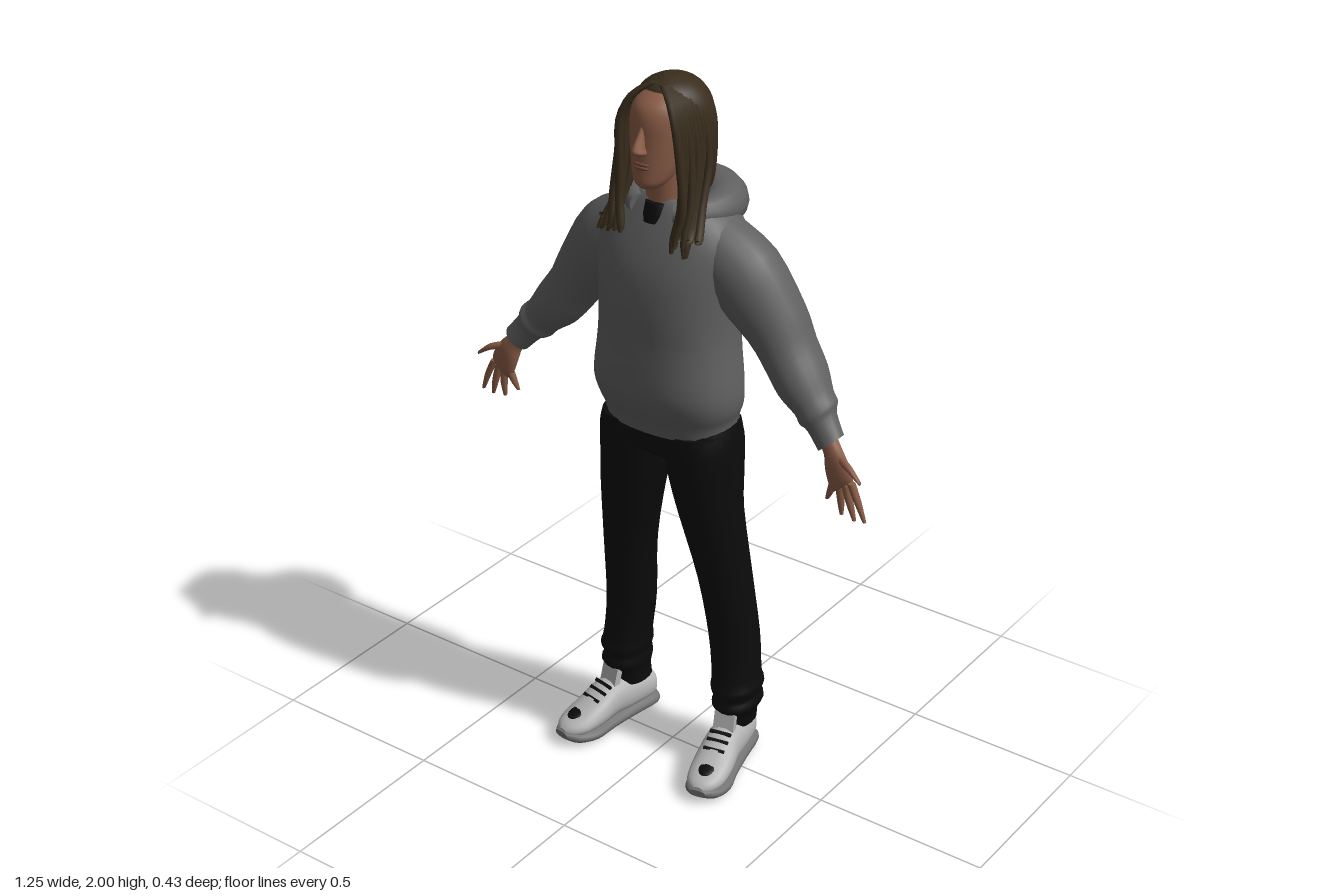
import * as THREE from 'three';

const mat = (name, color) => {
  const m = new THREE.MeshStandardMaterial({ color });
  m.name = name;
  return m;
};

// Smoothly adds in-between rows to a short table of cross-sections.
function refine(rows, sub) {
  const out = [];
  for (let i = 0; i < rows.length - 1; i++) {
    const p = [rows[Math.max(i - 1, 0)], rows[i], rows[i + 1], rows[Math.min(i + 2, rows.length - 1)]];
    for (let k = 0; k < sub; k++) {
      const t = k / sub;
      out.push(p[1].map((b, j) => {
        const a = p[0][j], c = p[2][j], d = p[3][j];
        return b + 0.5 * t * (c - a + t * (2 * a - 5 * b + 4 * c - d + t * (3 * (b - c) + d - a)));
      }));
    }
  }
  out.push(rows[rows.length - 1]);
  return out;
}

// Superellipse ring around c, spanned by u and v.
function ring(c, u, v, a, b, n, pow) {
  const f = x => Math.sign(x) * Math.abs(x) ** pow;
  return Array.from({ length: n }, (_, i) => {
    const t = i / n * Math.PI * 2;
    return c.clone().addScaledVector(u, a * f(Math.cos(t))).addScaledVector(v, b * f(Math.sin(t)));
  });
}

// Skins a list of rings and closes both ends.
function skin(rings, flip) {
  const n = rings[0].length, pos = [], idx = [];
  const tri = (a, b, c) => (flip ? idx.push(a, c, b) : idx.push(a, b, c));
  rings.forEach(r => r.forEach(p => pos.push(p.x, p.y, p.z)));
  for (let i = 0; i < rings.length - 1; i++) for (let j = 0; j < n; j++) {
    const a = i * n + j, b = i * n + (j + 1) % n;
    tri(a, b, b + n);
    tri(a, b + n, a + n);
  }
  [rings[0], rings[rings.length - 1]].forEach((r, end) => {
    const base = pos.length / 3, mid = new THREE.Vector3();
    r.forEach(p => { pos.push(p.x, p.y, p.z); mid.addScaledVector(p, 1 / n); });
    pos.push(mid.x, mid.y, mid.z);
    for (let j = 0; j < n; j++) {
      const a = base + j, b = base + (j + 1) % n;
      end ? tri(a, b, base + n) : tri(b, a, base + n);
    }
  });
  const g = new THREE.BufferGeometry();
  g.setAttribute('position', new THREE.Float32BufferAttribute(pos, 3));
  g.setIndex(idx);
  g.computeVertexNormals();
  return g;
}

const X = new THREE.Vector3(1, 0, 0), Y = new THREE.Vector3(0, 1, 0), Z = new THREE.Vector3(0, 0, 1);

// Rows are [x, y, z, radius along u, radius along v]; s mirrors x.
function loft(rows, { u = X, v = Z, n = 20, pow = 1, s = 1, sub = 3 } = {}) {
  const us = new THREE.Vector3(u.x * s, u.y, u.z);
  const rings = refine(rows, sub).map(r =>
    ring(new THREE.Vector3(r[0] * s, r[1], r[2]), us, v, Math.max(r[3], 0.001), Math.max(r[4], 0.001), n, pow));
  const A = rows[0], B = rows[rows.length - 1];
  const along = new THREE.Vector3((B[0] - A[0]) * s, B[1] - A[1], B[2] - A[2]);
  return skin(rings, us.clone().cross(v).dot(along) < 0);
}

export function createModel() {
  const grey = mat('hoodie grey', 0x606060), black = mat('trouser black', 0x0b0b0c);
  const skinTone = mat('skin', 0x8a5c46), lip = mat('lips', 0x6e4436);
  const hair = mat('hair brown', 0x382c1c), pale = mat('shoe pale grey', 0xb4b4b4);
  const soleGrey = mat('sole grey', 0x727272);
  const root = new THREE.Group();
  const add = (name, geo, m, parent = root) => {
    const mesh = new THREE.Mesh(geo, m);
    mesh.name = name;
    parent.add(mesh);
    return mesh;
  };

  // Hoodie body with a drawn-in hem
  add('hoodieBody', loft([
    [0, 1.045, 0, .185, .128], [0, 1.08, .005, .19, .133], [0, 1.12, .012, .205, .14], [0, 1.18, .018, .208, .148],
    [0, 1.3, .014, .193, .147], [0, 1.4, .008, .193, .153], [0, 1.5, 0, .2, .15], [0, 1.58, -.01, .2, .134],
    [0, 1.64, -.018, .165, .115], [0, 1.675, -.015, .115, .095], [0, 1.69, -.01, .08, .08],
  ], { n: 32, pow: .85 }), grey);

  // Folded hood: a roll around the neck, thickest behind
  const hood = [];
  for (let i = 0; i <= 28; i++) {
    const a = (i / 28 - .5) * 5.3, w = Math.cos(a / 2) ** 2;
    const out = new THREE.Vector3(Math.sin(a), 0, -Math.cos(a));
    const c = out.clone().multiplyScalar(.113).add(new THREE.Vector3(0, 1.66 - .02 * w, -.03));
    hood.push(ring(c, out, Y, .025 + .048 * w, .024 + .045 * w, 14, 1));
  }
  add('hood', skin(hood, false), grey);

  // Neck, undershirt, head and face
  add('neck', loft([[0, 1.62, .02, .06, .06], [0, 1.7, .025, .054, .055], [0, 1.79, .035, .054, .055]]), skinTone);
  add('undershirt', loft([[0, 1.63, .05, .05, .055], [0, 1.68, .05, .035, .045]]), black);
  add('head', loft([
    [0, 1.73, .095, .025, .03], [0, 1.745, .088, .042, .05], [0, 1.77, .072, .056, .066], [0, 1.81, .056, .068, .08],
    [0, 1.86, .05, .075, .083], [0, 1.91, .045, .076, .086], [0, 1.945, .04, .068, .076], [0, 1.97, .03, .05, .05],
  ], { n: 24 }), skinTone);
  add('nose', loft([
    [0, 1.822, .13, .012, .008], [0, 1.832, .14, .02, .022], [0, 1.845, .143, .014, .025],
    [0, 1.875, .13, .009, .016], [0, 1.9, .122, .006, .008],
  ], { n: 10 }), skinTone);
  for (const y of [1.789, 1.799]) {
    const m = add('lip', new THREE.SphereGeometry(1, 12, 8), lip);
    m.scale.set(.024, .006, .01);
    m.position.set(0, y, .131);
  }

  // Swept-back hair and hanging locks
  add('hairCap', loft([
    [0, 1.7, -.035, .088, .052], [0, 1.74, -.032, .1, .064], [0, 1.82, -.02, .11, .08], [0, 1.89, -.012, .108, .09],
    [0, 1.945, -.002, .092, .09], [0, 1.98, .004, .06, .066], [0, 1.997, .006, .018, .024],
  ], { n: 24 }), hair);
  for (const s of [-1, 1]) for (let i = 0; i < 9; i++) {
    const k = i / 8, wob = Math.sin(i * 2.4 + s) * .012;
    const z = .105 - .1 * k, end = 1.555 + .05 * Math.abs(Math.sin(i * 1.7 + s)) + .03 * k;
    add('lock', loft([
      [.015, 1.988, .06 - .05 * k, .012, .012], [.058 + .012 * k, 1.955, z * .75 + .01, .013, .012],
      [.086 + .012 * k, 1.89, z, .011, .012], [.094 + .014 * k + wob * .5, 1.79, z, .011, .012],
      [.098 + .016 * k + wob, 1.69, z * .6 + .045, .011, .011],
      [.085 + .055 * k + wob, 1.62, .1 + .02 * (1 - k), .011, .011],
      [.085 + .06 * k + wob * 1.5, end, .122 + .008 * (1 - k), .005, .005],
    ], { n: 7, s }), hair);
  }

  // Trousers
  add('trouserSeat', loft([[0, .965, .004, .13, .09], [0, 1, .004, .198, .117], [0, 1.08, 0, .182, .12]],
    { n: 28, pow: .8 }), black);

  const armU = new THREE.Vector3(.75, .66, 0);
  for (const s of [-1, 1]) {
    const side = s > 0 ? 'left' : 'right';
    add(side + 'TrouserLeg', loft([
      [.1, 1.05, .004, .09, .115], [.102, 1, .004, .1, .117], [.113, .9, .005, .093, .105], [.128, .8, .005, .084, .09],
      [.158, .6, -.02, .068, .08], [.175, .4, -.045, .065, .075], [.186, .28, -.043, .062, .076],
      [.19, .245, -.042, .066, .084], [.189, .215, -.044, .058, .077], [.191, .19, -.043, .063, .083],
      [.185, .155, -.05, .05, .066], [.182, .115, -.055, .048, .062],
    ], { s, pow: .9 }), black);

    // Sleeve, gathered above the cuff
    add(side + 'Sleeve', loft([
      [.11, 1.59, -.02, .075, .085], [.2, 1.505, -.022, .105, .1], [.3, 1.385, -.032, .086, .088],
      [.345, 1.315, -.03, .074, .084], [.39, 1.255, -.022, .07, .08], [.432, 1.21, -.01, .056, .062],
      [.452, 1.19, -.002, .057, .058], [.468, 1.172, .006, .044, .044], [.505, 1.13, .02, .04, .036],
    ], { u: armU, s }), grey);

    // Hand with spread fingers
    add(side + 'Palm', loft([
      [.485, 1.15, .015, .026, .022], [.512, 1.115, .025, .027, .02], [.528, 1.085, .033, .037, .018],
      [.547, 1.045, .036, .042, .016], [.556, 1.028, .036, .036, .011],
    ], { u: armU, s, n: 14 }), skinTone);
    const fingers = [
      [.545, 1.1, .035, .582, 1.09, .05, .617, 1.065, .057], [.578, 1.045, .036, .6, 1, .038, .622, .945, .036],
      [.562, 1.035, .036, .577, .985, .036, .59, .938, .033], [.545, 1.03, .036, .549, .985, .034, .55, .942, .03],
      [.527, 1.035, .036, .516, 1, .032, .504, .972, .028],
    ];
    fingers.forEach((f, i) => add(side + (i ? 'Finger' : 'Thumb'), loft([
      [f[0], f[1], f[2], .012, .011], [f[3], f[4], f[5], .01, .01], [f[6], f[7], f[8], .005, .005],
    ], i ? { s, n: 8 } : { u: Y, s, n: 8 }), skinTone));

    // Shoe, toes turned out
    const shoe = new THREE.Group();
    shoe.name = side + 'Shoe';
    shoe.position.set(.2 * s, 0, .042);
    shoe.rotation.y = .2 * s;
    root.add(shoe);
    const o = { u: X, v: Y, n: 18, pow: .75 };
    add('sole', loft([
      [0, .026, -.172, .025, .012], [0, .022, -.155, .046, .02], [0, .021, -.06, .05, .021], [0, .02, .02, .056, .02],
      [.003, .02, .09, .063, .02], [.002, .025, .145, .05, .018], [0, .034, .174, .024, .01],
    ], o), soleGrey);
    add('upper', loft([
      [0, .07, -.168, .025, .03], [0, .072, -.145, .042, .046], [0, .078, -.06, .048, .056], [0, .082, 0, .051, .056],
      [.002, .066, .06, .056, .043], [.002, .052, .12, .053, .028], [0, .045, .155, .036, .02], [0, .042, .17, .015, .01],
    ], { ...o, pow: .9 }), pale);
    const tongue = add('tongue', new THREE.BoxGeometry(.06, .09, .02), pale, shoe);
    tongue.position.set(0, .135, -.012);
    tongue.rotation.x = -.25;
    shoe.add(...root.children.filter(c => c.name === 'sole' || c.name === 'upper'));
    [[.118, .035], [.104, .06], [.132, .015]].forEach(([y, z]) => {
      const lace = add('lace', new THREE.BoxGeometry(.062, .008, .009), black, shoe);
      lace.position.set(0, y, z);
      lace.rotation.x = .5;
    });
    const patch = add('toePatch', new THREE.SphereGeometry(1, 14, 8), black, shoe);
    patch.scale.set(.022, .004, .028);
    patch.position.set(.003 * s, .08, .115);
    patch.rotation.x = .28;
  }
  return root;
}
